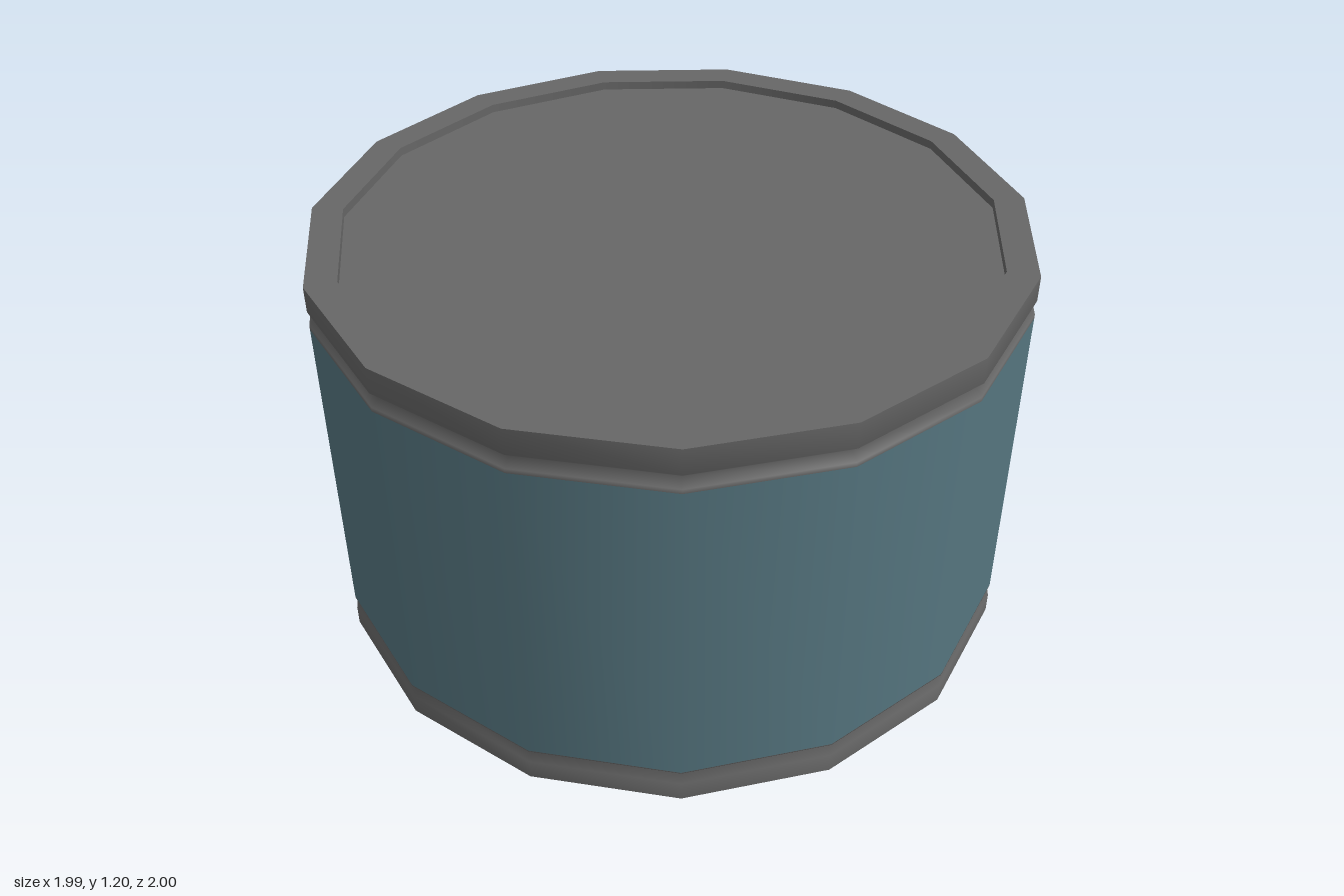
import * as THREE from 'three';

const SIDES = 15;
const R = 1.0055;      // outer radius
const GROOVE = 0.982;  // radius at the bottom of the crimped groove
const INNER = 0.917;   // inner radius of the rim
const HEIGHT = 1.2;
const RECESS = 0.025;  // how far the lids sit below the rims

export function createModel() {
  const metal = new THREE.MeshStandardMaterial({ color: 0x666666 });
  metal.name = 'grey metal';
  const paint = new THREE.MeshStandardMaterial({ color: 0x55757f });
  paint.name = 'blue label';

  const can = new THREE.Group();
  can.name = 'can';

  // Revolves a [radius, y] profile; smooth along it, sharp between calls
  const ring = (name, profile, material, parent) => {
    const points = profile.map(([r, y]) => new THREE.Vector2(r, y));
    const mesh = new THREE.Mesh(new THREE.LatheGeometry(points, SIDES, Math.PI / 2), material);
    mesh.name = name;
    parent.add(mesh);
  };

  // Painted wall of the can
  ring('label', [[R, 0.105], [R, 1.07]], paint, can);

  // Bottom end: recessed base, rim, and grooved band
  const bottom = new THREE.Group();
  bottom.name = 'bottomEnd';
  ring('base', [[0, RECESS], [INNER, RECESS]], metal, bottom);
  ring('bottomRimInside', [[INNER, RECESS], [INNER, 0]], metal, bottom);
  ring('bottomRim', [[INNER, 0], [R, 0]], metal, bottom);
  ring('bottomBand', [[R, 0], [R, 0.06], [GROOVE, 0.081], [R, 0.102], [R, 0.105]], metal, bottom);

  // Top end: grooved band, rim, and recessed lid
  const top = new THREE.Group();
  top.name = 'topEnd';
  ring('topBand', [[R, 1.07], [R, 1.083], [GROOVE, 1.104], [R, 1.125], [R, HEIGHT]], metal, top);
  ring('topRim', [[R, HEIGHT], [INNER, HEIGHT]], metal, top);
  ring('topRimInside', [[INNER, HEIGHT], [INNER, HEIGHT - RECESS]], metal, top);
  ring('lid', [[INNER, HEIGHT - RECESS], [0, HEIGHT - RECESS]], metal, top);

  can.add(bottom, top);
  can.position.x = -0.011; // the odd-sided outline is centred by its extents

  const model = new THREE.Group();
  model.name = 'model';
  model.add(can);
  return model;
}
